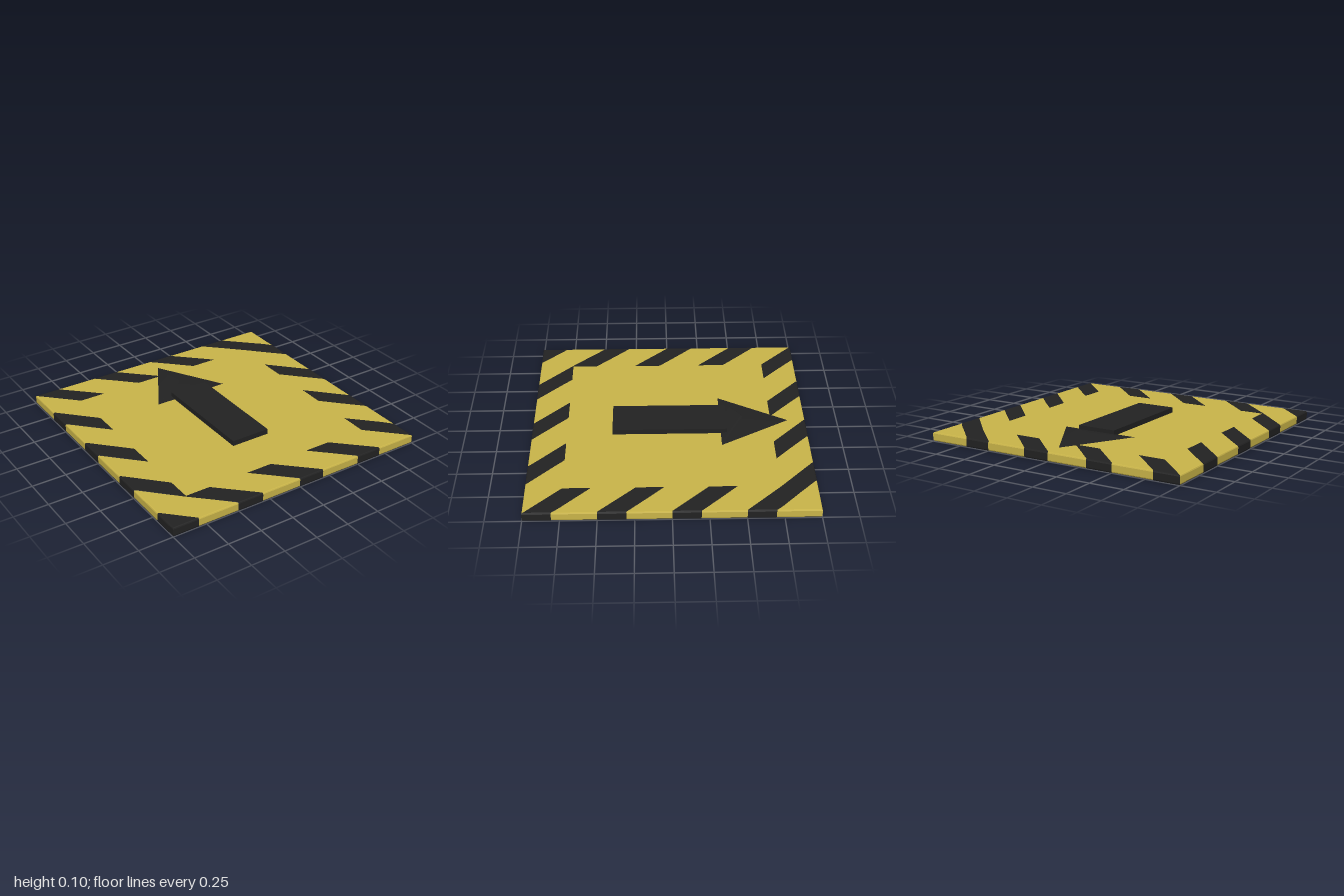
import * as THREE from 'three';

const H = 0.066;      // plate thickness
const BAND = 0.745;   // inner edge of the hazard border
const SKIN = 0.0015;  // how far the stripes stand proud

// Rounded rim: [height, half width]
const rim = [[0, 0.99], [0.003, 0.997], [0.01, 1], [H - 0.01, 1], [H - 0.003, 0.997], [H, 0.99]];

// Stacks a convex outline ([x, z], counter-clockwise from above) up the rim profile
function slab(outline, skin) {
  const rings = rim.map(([y, half]) => {
    const lim = half - skin;
    const yy = THREE.MathUtils.clamp(y, skin, H - skin);
    return outline.map(([x, z]) => [
      THREE.MathUtils.clamp(x, -lim, lim), yy, THREE.MathUtils.clamp(z, -lim, lim)]);
  });
  const pos = [];
  const tri = (a, b, c) => pos.push(...a, ...b, ...c);
  const n = outline.length;
  for (let r = 0; r < rings.length - 1; r++) {
    const a = rings[r], b = rings[r + 1];
    for (let i = 0; i < n; i++) {
      const j = (i + 1) % n;
      tri(a[i], a[j], b[j]);
      tri(a[i], b[j], b[i]);
    }
  }
  const bottom = rings[0], top = rings[rings.length - 1];
  for (let i = 1; i < n - 1; i++) {
    tri(top[0], top[i], top[i + 1]);
    tri(bottom[0], bottom[i + 1], bottom[i]);
  }
  const geo = new THREE.BufferGeometry();
  geo.setAttribute('position', new THREE.Float32BufferAttribute(pos, 3));
  geo.computeVertexNormals();
  return geo;
}

// Keeps the part of a convex outline where f >= 0
function clip(outline, f) {
  const out = [];
  outline.forEach((p, i) => {
    const q = outline[(i + 1) % outline.length];
    const a = f(p), b = f(q);
    if (a >= 0) out.push(p);
    if (a * b < 0) {
      const t = a / (a - b);
      out.push([p[0] + (q[0] - p[0]) * t, p[1] + (q[1] - p[1]) * t]);
    }
  });
  return out;
}

const rect = (x0, x1, z0, z1) => [[x0, z0], [x0, z1], [x1, z1], [x1, z0]];

export function createModel() {
  const model = new THREE.Group();
  const yellow = new THREE.MeshStandardMaterial({ color: 0xcab549 });
  yellow.name = 'hazard yellow';
  const black = new THREE.MeshStandardMaterial({ color: 0x222222 });
  black.name = 'matte black';

  const add = (parent, name, geo, mat) => {
    const mesh = new THREE.Mesh(geo, mat);
    mesh.name = name;
    parent.add(mesh);
    return mesh;
  };

  // Square base plate
  add(model, 'basePlate', slab(rect(-1, 1, -1, 1), SKIN), yellow);

  // Diagonal stripes cut to the four border bands, wrapping over the rim
  const stripes = new THREE.Group();
  stripes.name = 'hazardStripes';
  model.add(stripes);
  const bands = {
    back: rect(-1, 1, -1, -BAND),
    front: rect(-1, 1, BAND, 1),
    right: rect(-1, -BAND, -BAND, BAND),
    left: rect(BAND, 1, -BAND, BAND),
  };
  for (const [side, band] of Object.entries(bands)) {
    for (let k = -4; k < 4; k++) {
      const start = k * 0.5, end = start + 0.193;
      const piece = clip(clip(band, ([x, z]) => x - z - start), ([x, z]) => end - x + z);
      if (piece.length > 2) add(stripes, side + 'Stripe', slab(piece, 0), black);
    }
  }

  // Raised arrow pointing to the back
  const arrow = new THREE.Group();
  arrow.name = 'arrow';
  model.add(arrow);
  const rise = 0.039;
  add(arrow, 'arrowShaft', new THREE.BoxGeometry(0.296, rise, 0.83), black)
    .position.set(0, H + rise / 2, 0);
  const head = add(arrow, 'arrowHead', new THREE.ConeGeometry(0.333, rise, 3), black);
  head.rotation.y = Math.PI;
  head.position.set(0, H + rise / 2, -0.537);

  return model;
}
